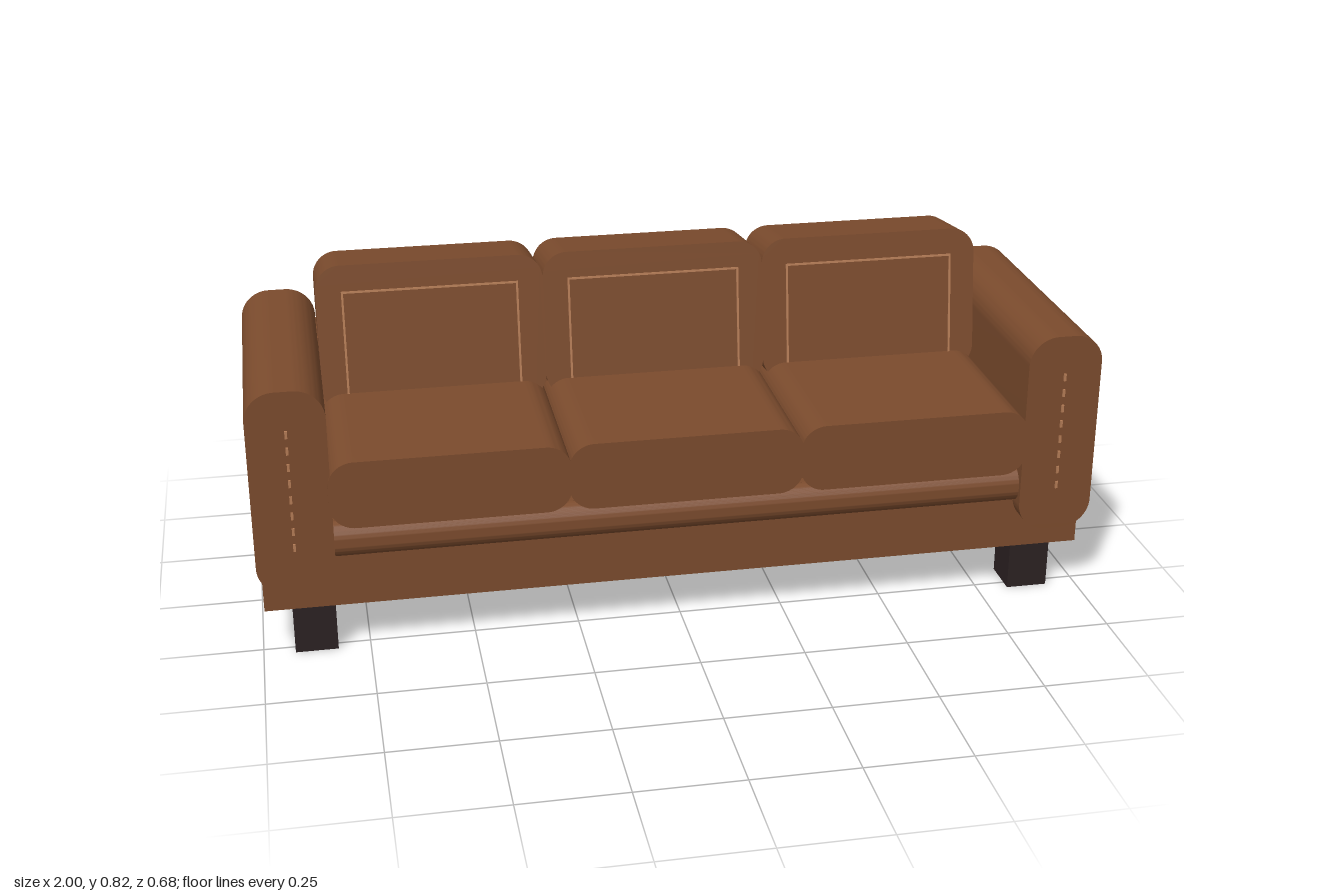
import * as THREE from 'three';
import { toCreasedNormals } from 'three/addons/utils/BufferGeometryUtils.js';

const material = (name, color) => {
  const m = new THREE.MeshStandardMaterial({ color });
  m.name = name;
  return m;
};

// Rounded rectangle in XY, extruded along Z and centred on the origin
function roundedSlab(w, h, d, r) {
  const s = new THREE.Shape();
  const x = w / 2, y = h / 2;
  s.absarc(x - r, y - r, r, 0, Math.PI / 2);
  s.absarc(-x + r, y - r, r, Math.PI / 2, Math.PI);
  s.absarc(-x + r, -y + r, r, Math.PI, Math.PI * 1.5);
  s.absarc(x - r, -y + r, r, Math.PI * 1.5, Math.PI * 2);
  const g = new THREE.ExtrudeGeometry(s, { depth: d, bevelEnabled: false, curveSegments: 10 });
  g.translate(0, 0, -d / 2);
  return toCreasedNormals(g, 0.6);
}

export function createModel() {
  const model = new THREE.Group();
  model.name = 'sofa';
  const leather = material('brown leather', 0x7b4b2d);
  const thread = material('tan thread', 0xb47c56);
  const wood = material('dark wood', 0x2b2122);

  const add = (name, geo, mat, x, y, z, parent = model) => {
    const mesh = new THREE.Mesh(geo, mat);
    mesh.name = name;
    mesh.position.set(x, y, z);
    parent.add(mesh);
    return mesh;
  };
  const box = (w, h, d) => new THREE.BoxGeometry(w, h, d);

  // Base frame and rounded front rail
  add('base', box(1.98, 0.22, 0.6), leather, 0, 0.23, -0.015);
  const rail = roundedSlab(0.12, 0.09, 1.66, 0.042).rotateY(Math.PI / 2);
  add('frontRail', rail, leather, 0, 0.295, 0.262);

  // Support panel behind the back cushions
  add('backPanel', box(1.66, 0.23, 0.16), leather, 0, 0.51, -0.208);

  // Arms with a dashed stitch line on the front, and legs
  const armGeo = roundedSlab(0.18, 0.5, 0.672, 0.07);
  const dashGeo = box(0.006, 0.018, 0.008);
  const legGeo = box(0.1, 0.12, 0.1);
  for (const side of [-1, 1]) {
    add('arm', armGeo, leather, side * 0.91, 0.435, -0.004);
    for (let i = 0; i < 8; i++) {
      add('armStitch', dashGeo, thread, side * 0.91, 0.302 + i * 0.04, 0.332);
    }
    for (const z of [0.227, -0.203]) add('leg', legGeo, wood, side * 0.876, 0.06, z);
  }

  // Three seat cushions and three reclined back cushions with stitched frames
  const seatGeo = roundedSlab(0.557, 0.164, 0.458, 0.06);
  const backGeo = roundedSlab(0.546, 0.36, 0.193, 0.06);
  const sideStitch = box(0.005, 0.264, 0.006);
  const crossStitch = box(0.425, 0.005, 0.006);
  for (const i of [-1, 0, 1]) {
    add('seatCushion', seatGeo, leather, i * 0.549, 0.423, 0.109);

    const back = new THREE.Group();
    back.name = 'backCushion';
    back.position.set(i * 0.546, 0.625, -0.182);
    back.rotation.x = -0.14;
    model.add(back);
    add('backCushionBody', backGeo, leather, 0, 0, 0, back);
    for (const s of [-1, 1]) {
      add('sideStitch', sideStitch, thread, s * 0.21, -0.018, 0.0965, back);
    }
    for (const y of [0.114, -0.15]) add('crossStitch', crossStitch, thread, 0, y, 0.0965, back);
  }
  return model;
}
